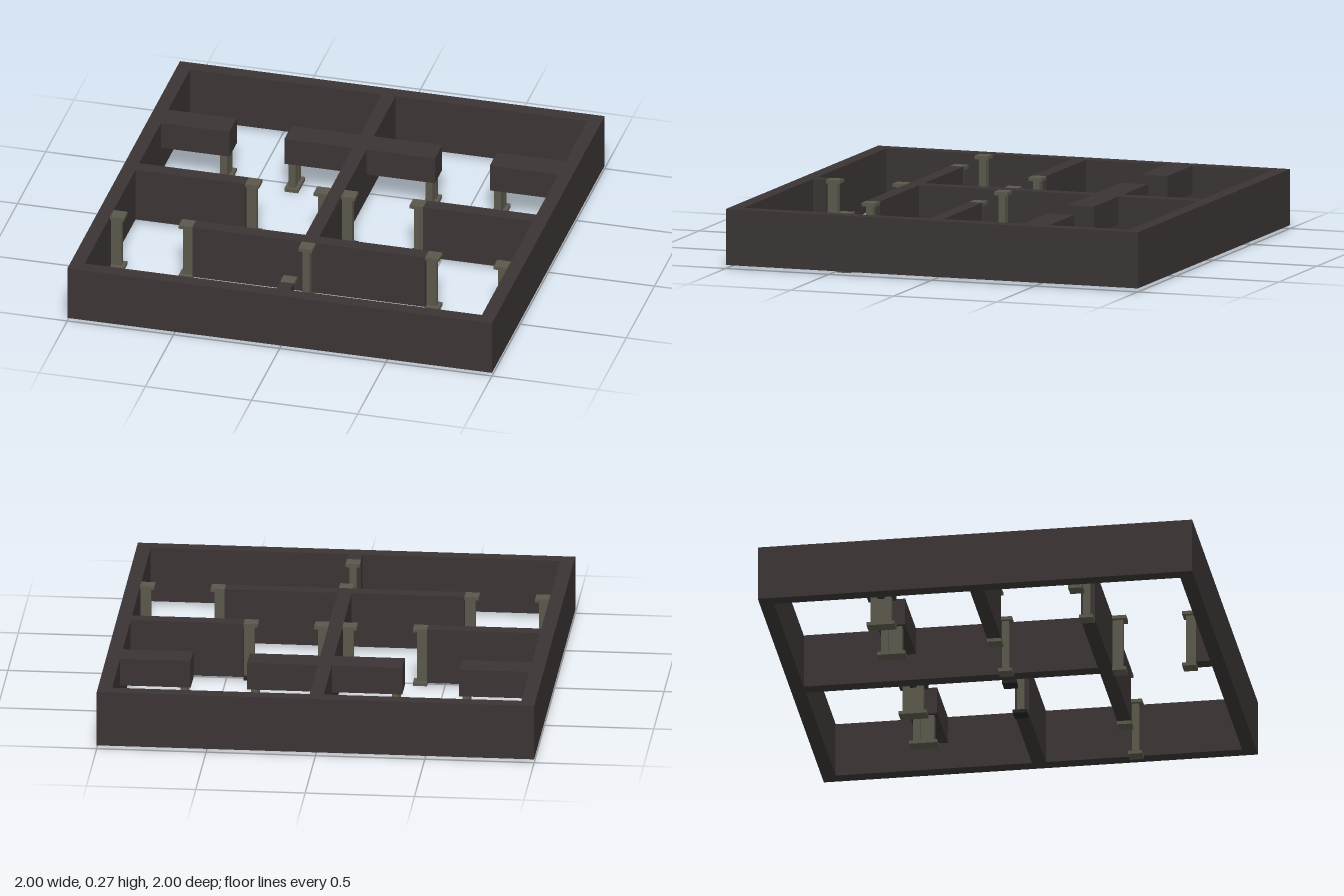
import * as THREE from 'three';

const U = 2 / 31;        // one building block
const BASE = U / 4;      // walls start on top of the foot slabs
const TOP = BASE + 4 * U;

export function createModel() {
  const model = new THREE.Group();
  model.name = 'floorPlan';
  const wallMat = new THREE.MeshStandardMaterial({ color: 0x3b3434 });
  wallMat.name = 'darkBrick';
  const stoneMat = new THREE.MeshStandardMaterial({ color: 0x5a584b });
  stoneMat.name = 'stone';
  const darkMat = new THREE.MeshStandardMaterial({ color: 0x242323 });
  darkMat.name = 'darkStone';

  // Box given by its extents
  function box(parent, name, mat, x0, x1, y0, y1, z0, z1) {
    const mesh = new THREE.Mesh(new THREE.BoxGeometry(x1 - x0, y1 - y0, z1 - z0), mat);
    mesh.position.set((x0 + x1) / 2, (y0 + y1) / 2, (z0 + z1) / 2);
    mesh.name = name;
    parent.add(mesh);
    return mesh;
  }
  const wall = (name, x0, x1, z0, z1, y0 = BASE) =>
    box(model, name, wallMat, x0 * U, x1 * U, y0, TOP, z0 * U, z1 * U);

  // Outer walls
  wall('backWall', -15.5, 15.5, -15.5, -14.5);
  wall('frontWall', -15.5, 15.5, 14.5, 15.5);
  wall('rightWall', -15.5, -14.5, -14.5, 14.5);
  wall('leftWall', 14.5, 15.5, -14.5, 14.5);

  // Inner walls
  wall('spineWall', -0.5, 0.5, -14.5, 7.5);
  wall('spineStub', -0.5, 0.5, 13.5, 14.5);
  for (const s of [-1, 1]) {
    const span = (name, a, b, z0, z1, y0) =>
      wall(name, Math.min(s * a, s * b), Math.max(s * a, s * b), z0, z1, y0);
    span('middleWall', 6.5, 14.5, -0.5, 0.5);
    span('frontRoomWall', 0.5, 8.5, 6.5, 7.5);
    // Thick raised beams
    span('innerBeam', 0.5, 5.5, -8.5, -6.5, BASE + 2 * U);
    span('outerBeam', 9.5, 14.5, -8.5, -6.5, BASE + 2 * U);
  }

  // Slim post with a foot slab, a cap and a web towards the wall (dx, dz)
  function column(x, z, dx, dz, footMat = stoneMat) {
    const g = new THREE.Group();
    g.name = 'doorColumn';
    g.position.set(x * U, 0, z * U);
    const h = U / 2, p = U / 4, w = U * 0.19, capY = TOP - BASE;
    box(g, 'foot', footMat, -h, h, 0, BASE, -h, h);
    box(g, 'cap', stoneMat, -h, h, capY, TOP, -h, h);
    box(g, 'post', stoneMat, -p, p, BASE, capY, -p, p);
    const web = box(g, 'web', stoneMat, p, h, BASE, capY, -w, w);
    web.position.x = dx * (p + h) / 2;
    web.position.z = dz * (p + h) / 2;
    if (dz) web.rotation.y = Math.PI / 2;
    model.add(g);
  }
  for (const s of [-1, 1]) {
    const foot = s > 0 ? darkMat : stoneMat;
    column(s, 0, -s, 0, foot);
    column(s * 6, 0, s, 0, foot);
    column(s * 9, 7, -s, 0);
    column(s * 14, 7, s, 0);
  }
  column(0, 8, 0, -1);
  column(0, 13, 0, 1);

  // Paired short posts carrying the beams
  for (const x of [-10, -5, 5, 10]) {
    const g = new THREE.Group();
    g.name = 'beamSupport';
    g.position.set(x * U, 0, -7.5 * U);
    const yTop = BASE + 2 * U, p = U / 4, w = U * 0.19;
    box(g, 'foot', stoneMat, -U / 2, U / 2, 0, BASE, -U, U);
    for (const z of [-U / 2, U / 2]) box(g, 'post', stoneMat, -p, p, BASE, yTop, z - p, z + p);
    box(g, 'web', stoneMat, -w, w, BASE, yTop - U * 0.12, -p, p);
    model.add(g);
  }
  return model;
}
